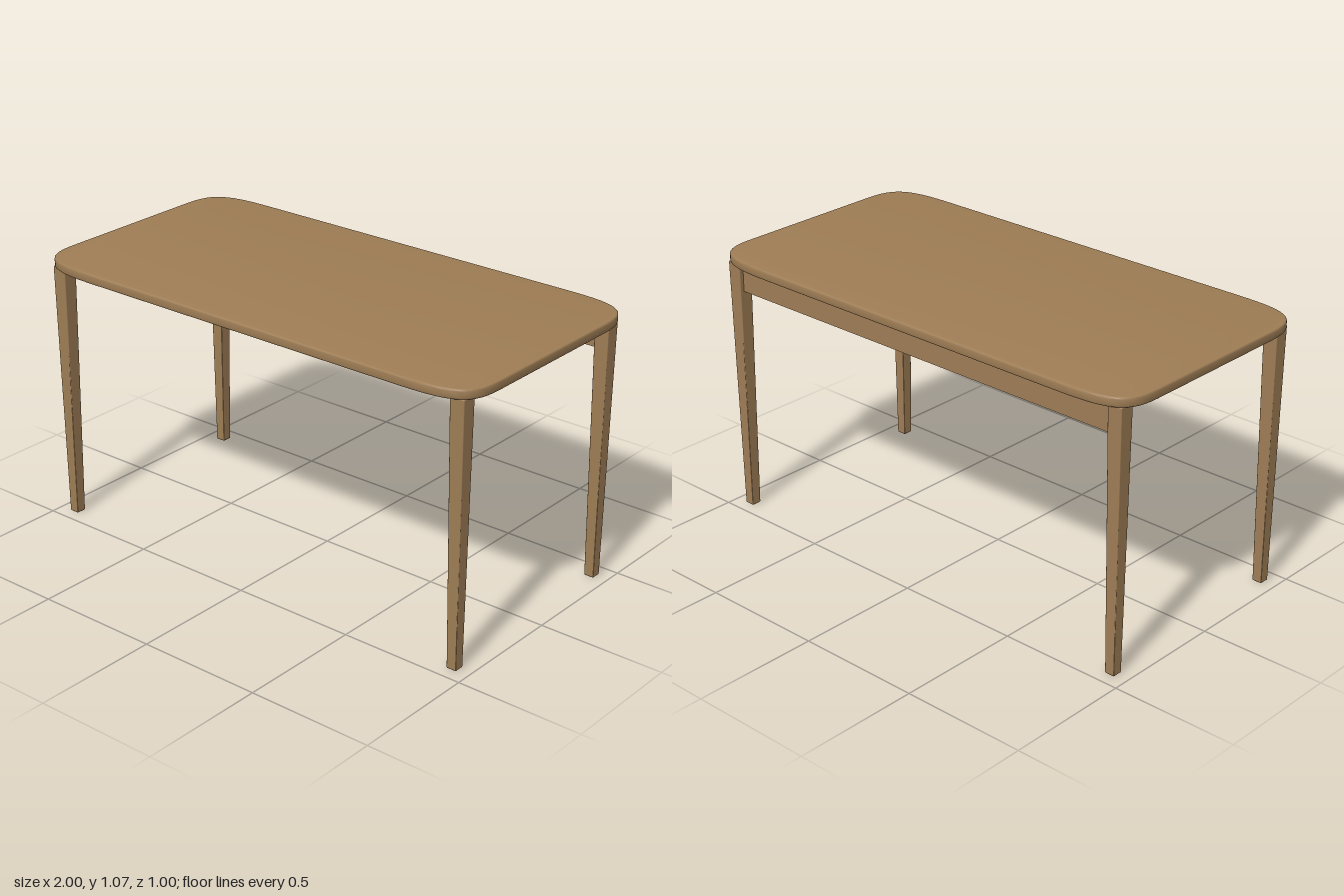
import * as THREE from 'three';
import { toCreasedNormals } from 'three/addons/utils/BufferGeometryUtils.js';
import { RoundedBoxGeometry } from 'three/addons/geometries/RoundedBoxGeometry.js';

const TOP_Y = 1.07, UNDER_Y = 1.032;

// Soft-cornered rectangle whose corners run longer along x than along z
function topOutline(inset) {
  const X = 1 - inset, Z = 0.5 - inset;
  const s = new THREE.Shape();
  s.moveTo(X, -0.32);
  s.lineTo(X, 0.32);
  s.bezierCurveTo(X, Z - 0.03, X - 0.06, Z, 0.72, Z);
  s.lineTo(-0.72, Z);
  s.bezierCurveTo(-X + 0.06, Z, -X, Z - 0.03, -X, 0.32);
  s.lineTo(-X, -0.32);
  s.bezierCurveTo(-X, -Z + 0.03, -X + 0.06, -Z, -0.72, -Z);
  s.lineTo(0.72, -Z);
  s.bezierCurveTo(X - 0.06, -Z, X, -Z + 0.03, X, -0.32);
  return s;
}

// Square leg, 0.06 wide at the top and 0.04 at the foot
function legGeometry() {
  const h = UNDER_Y + 0.003;
  const g = new RoundedBoxGeometry(0.06, h, 0.06, 2, 0.004);
  g.translate(0, h / 2, 0);
  const p = g.attributes.position;
  for (let i = 0; i < p.count; i++) {
    const k = THREE.MathUtils.lerp(0.04 / 0.06, 1, p.getY(i) / h);
    p.setX(i, p.getX(i) * k);
    p.setZ(i, p.getZ(i) * k);
  }
  return g;
}

export function createModel() {
  const wood = new THREE.MeshStandardMaterial({ color: 0x9e7d55 });
  wood.name = 'wood';
  const table = new THREE.Group();
  table.name = 'table';
  const add = (name, geometry, x = 0, y = 0, z = 0) => {
    const mesh = new THREE.Mesh(geometry, wood);
    mesh.name = name;
    mesh.position.set(x, y, z);
    table.add(mesh);
  };

  // Tabletop with softened edges
  const bevel = 0.007;
  const slab = new THREE.ExtrudeGeometry(topOutline(bevel), {
    depth: TOP_Y - UNDER_Y - 2 * bevel, curveSegments: 14,
    bevelEnabled: true, bevelThickness: bevel, bevelSize: bevel, bevelSegments: 3,
  });
  slab.rotateX(-Math.PI / 2);
  add('tabletop', toCreasedNormals(slab, 0.7), 0, UNDER_Y + bevel, 0);

  // Four tapered legs
  const leg = legGeometry();
  for (const [sx, side] of [[1, 'Left'], [-1, 'Right']])
    for (const [sz, end] of [[1, 'front'], [-1, 'back']])
      add(`${end}${side}Leg`, leg, sx * 0.93, 0, sz * 0.43);

  // Single apron rail between the back legs
  add('backApron', new THREE.BoxGeometry(1.82, 0.115, 0.024), 0, 0.9775, -0.43);
  return table;
}
